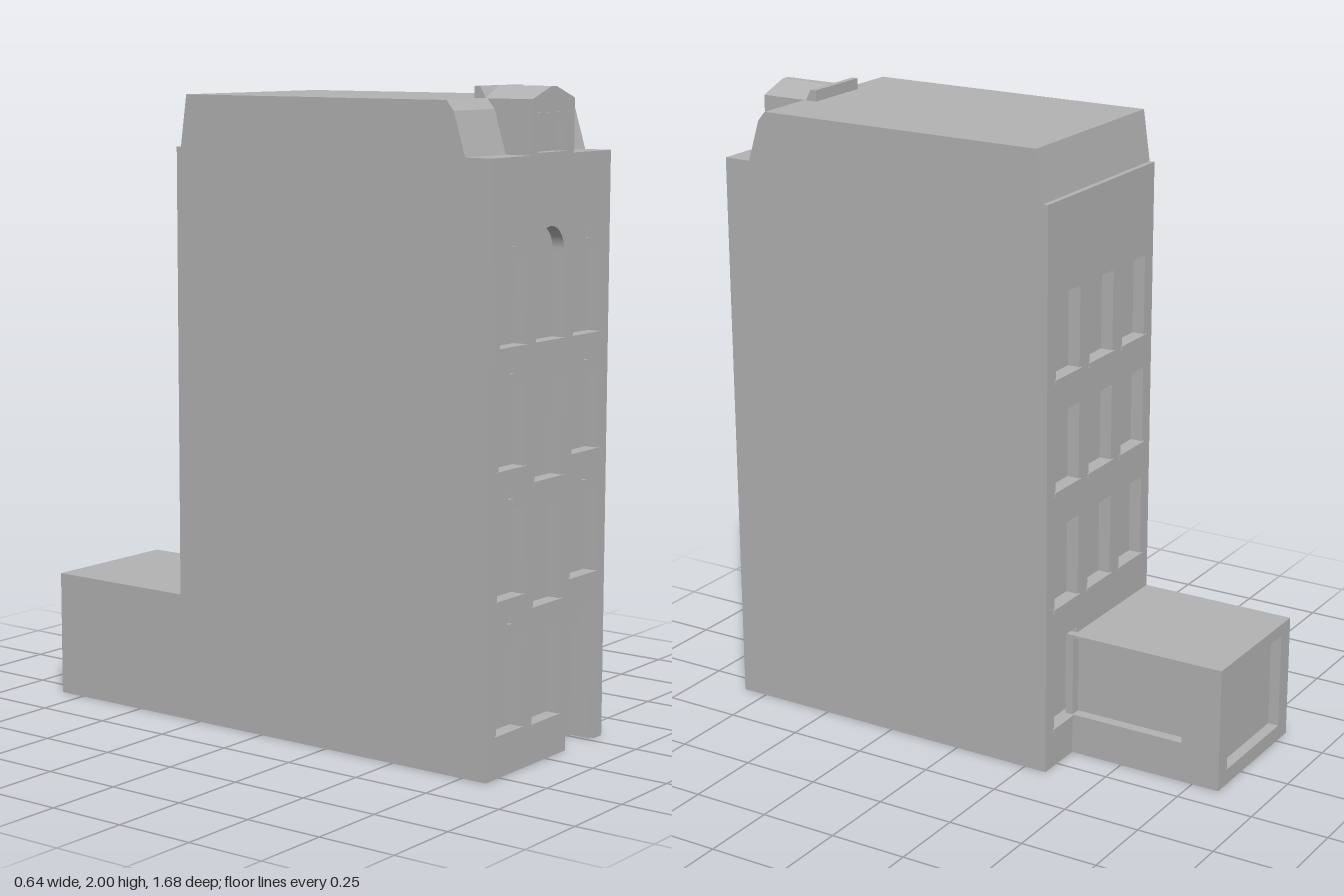
import * as THREE from 'three';

const stone = new THREE.MeshStandardMaterial({ color: 0xb3b3b3 });
stone.name = 'grey stone';

const add = (parent, name, geometry) => {
  const mesh = new THREE.Mesh(geometry, stone);
  mesh.name = name;
  parent.add(mesh);
  return mesh;
};

const box = (parent, name, x0, x1, y0, y1, z0, z1) => {
  const g = new THREE.BoxGeometry(x1 - x0, y1 - y0, z1 - z0);
  g.translate((x0 + x1) / 2, (y0 + y1) / 2, (z0 + z1) / 2);
  return add(parent, name, g);
};

const shapeOf = (pts) => new THREE.Shape(pts.map(([x, y]) => new THREE.Vector2(x, y)));
const rect = (x0, x1, y0, y1) => [[x0, y0], [x1, y0], [x1, y1], [x0, y1]];

// Extrude a [z, y] side profile along x
const sideProfile = (parent, name, pts, x0, x1) => {
  const g = new THREE.ExtrudeGeometry(shapeOf(pts.map(([z, y]) => [-z, y])), { depth: x1 - x0, bevelEnabled: false });
  g.rotateY(Math.PI / 2).translate(x0, 0, 0);
  return add(parent, name, g);
};

// Wall whose outer face lies on local z = 0, with recessed openings
// opening: { r: [x0, x1, y0, y1], depth, arch, sill }
function wall(parent, name, outline, thickness, openings) {
  const group = new THREE.Group();
  group.name = name;
  parent.add(group);
  const shape = shapeOf(outline);
  for (const { r: [x0, x1, y0, y1], depth = 0.04, arch, sill } of openings) {
    const hole = new THREE.Path();
    hole.moveTo(x0, y0);
    hole.lineTo(x1, y0);
    if (arch) {
      const radius = (x1 - x0) / 2;
      hole.lineTo(x1, y1 - radius);
      hole.absarc((x0 + x1) / 2, y1 - radius, radius, 0, Math.PI, false);
    } else {
      hole.lineTo(x1, y1);
      hole.lineTo(x0, y1);
    }
    hole.closePath();
    shape.holes.push(hole);
    box(group, 'pane', x0, x1, y0, y1, -thickness, -depth);
    if (sill) box(group, 'windowSill', x0 - 0.008, x1 + 0.008, y0 - 0.015, y0, -depth, 0.006);
  }
  const g = new THREE.ExtrudeGeometry(shape, { depth: thickness, bevelEnabled: false, curveSegments: 16 });
  add(group, 'wallFace', g.translate(0, 0, -thickness));
  return group;
}

export function createModel() {
  const model = new THREE.Group();
  model.name = 'townhouse';

  // Main block with sloped roof edges at front and back
  sideProfile(model, 'mainBlock', [
    [0.745, 0], [0.745, 1.805], [0.705, 1.935], [0.68, 1.965],
    [-0.285, 1.965], [-0.308, 1.805], [-0.25, 1.805], [-0.25, 0],
  ], -0.32, 0.32);

  // Street facade
  const rows = [[0.13, 0.42], [0.53, 0.79], [0.91, 1.155], [1.265, 1.52]];
  const front = [];
  rows.forEach(([y0, y1], i) => {
    front.push({ r: [-0.27, -0.137, y0, y1], sill: true });
    front.push({ r: [-0.215, -0.19, y1 + 0.03, y1 + 0.056], depth: 0.02 });
    if (i === 0) return;
    front.push({ r: [0.122, 0.265, y0, y1], sill: true });
    front.push({ r: [0.185, 0.21, y1 + 0.03, y1 + 0.056], depth: 0.02 });
  });
  front.push({ r: [-0.08, 0.065, 0.125, 0.42], sill: true });
  front.push({ r: [-0.08, 0.065, 0.48, 0.79] });
  front.push({ r: [-0.08, 0.065, 0.855, 1.155] });
  front.push({ r: [-0.08, 0.065, 1.265, 1.597], arch: true, sill: true });
  const facade = wall(model, 'frontWall', [
    [-0.32, 0], [0.11, 0], [0.11, 0.45], [0.277, 0.45], [0.277, 0],
    [0.32, 0], [0.32, 1.805], [-0.32, 1.805],
  ], 0.09, front);
  facade.position.z = 0.835;

  // Balcony panels below the tall middle windows
  for (const y of [0.4, 0.775]) box(facade, 'balconyPanel', -0.09, 0.08, y, y + 0.08, -0.04, 0.006);

  // Entrance
  box(facade, 'doorFrameRight', 0.11, 0.123, 0, 0.45, -0.09, -0.01);
  box(facade, 'doorFrameLeft', 0.265, 0.277, 0, 0.45, -0.09, -0.01);
  box(facade, 'doorFrameTop', 0.123, 0.265, 0.435, 0.45, -0.09, -0.01);
  box(facade, 'transom', 0.123, 0.265, 0.355, 0.435, -0.09, -0.045);
  box(facade, 'door', 0.123, 0.265, 0, 0.355, -0.09, -0.08);

  // Rear wall; the lowest row has only the window beside the annex
  const rear = [];
  rows.forEach(([y0, y1], i) => {
    for (const x of i ? [-0.2, 0, 0.2] : [-0.2]) {
      rear.push({ r: [x - 0.07, x + 0.07, y0, y1], sill: true });
    }
  });
  const rearWall = wall(model, 'rearWall', rect(-0.32, 0.32, 0, 1.805), 0.075, rear);
  rearWall.rotation.y = Math.PI;
  rearWall.position.z = -0.325;

  // Dormer: gabled body, flared back end, windowed front
  const gable = [[-0.113, 1.8], [0.113, 1.8], [0.113, 1.965], [0.014, 2], [-0.014, 2], [-0.113, 1.965]];
  const body = new THREE.ExtrudeGeometry(shapeOf(gable), { depth: 0.145, bevelEnabled: false });
  add(model, 'dormerBody', body.translate(0, 0, 0.64));
  sideProfile(model, 'dormerRoofFlare', [[0.677, 1.96], [0.655, 2], [0.635, 2], [0.635, 1.96]], -0.113, 0.113);
  const dormer = wall(model, 'dormerFront', gable, 0.05, [{ r: [-0.08, 0.065, 1.812, 1.9], depth: 0.035, sill: true }]);
  dormer.position.z = 0.835;
  box(dormer, 'dormerLintel', -0.087, 0.075, 1.902, 1.926, -0.03, 0.006);

  // Rear annex
  box(model, 'annexCore', -0.32, 0.105, 0, 0.4, -0.79, -0.3);
  const side = wall(model, 'annexSideWall', rect(0.3, 0.84, 0, 0.4), 0.05, [{ r: [0.325, 0.71, 0.13, 0.39], depth: 0.035 }]);
  side.rotation.y = Math.PI / 2;
  side.position.x = 0.155;
  const end = wall(model, 'annexEndWall', rect(-0.105, 0.32, 0, 0.4), 0.05, [{ r: [-0.1, 0.26, 0.05, 0.36], depth: 0.035 }]);
  end.rotation.y = Math.PI;
  end.position.z = -0.84;

  return model;
}
